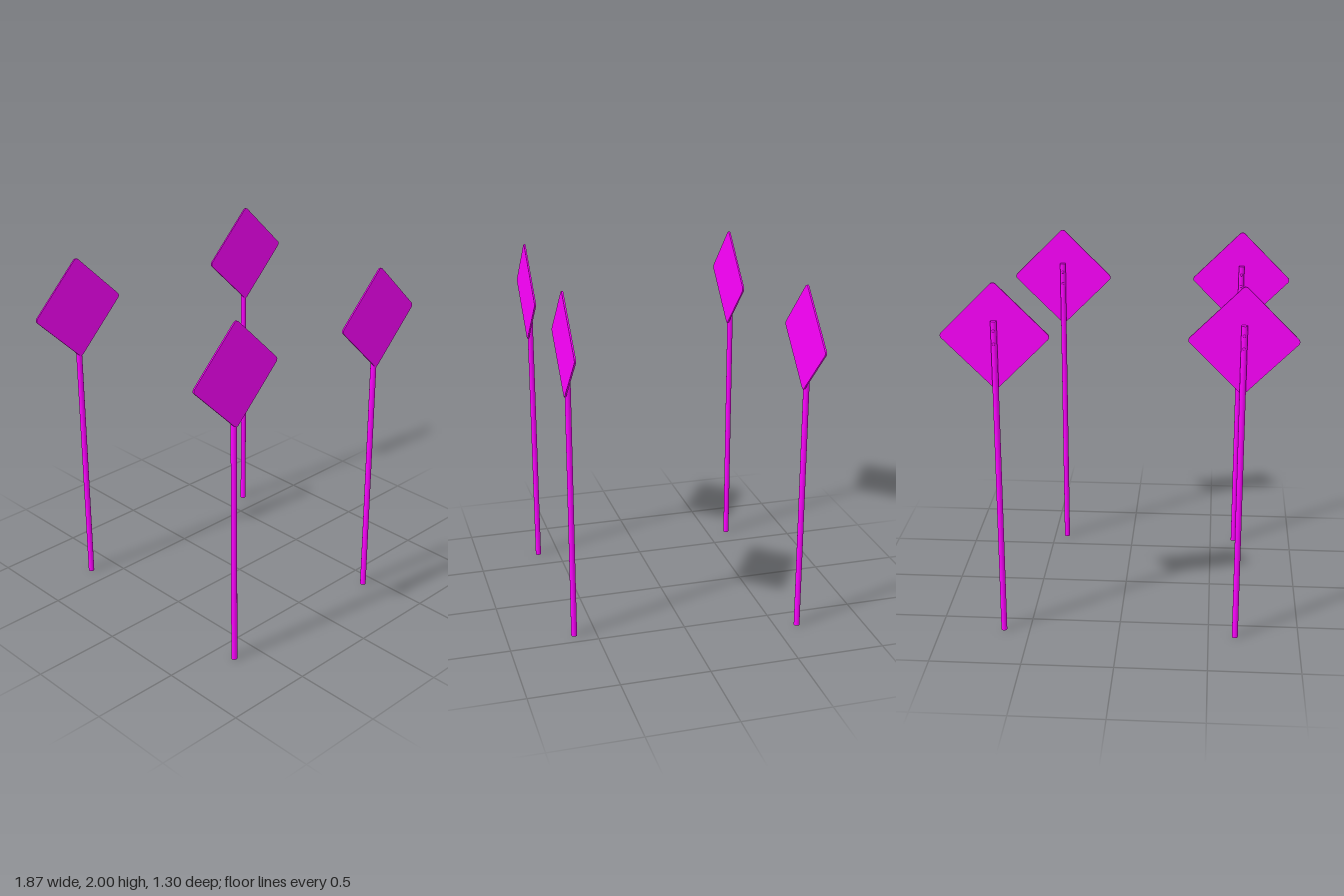
import * as THREE from 'three';

const material = new THREE.MeshStandardMaterial({ color: 0xff00ff });

// Square plate with softly rounded corners, turned to stand on one corner
function plateGeometry(tip, radius, depth) {
  const h = (tip + radius * (Math.SQRT2 - 1)) / Math.SQRT2;
  const s = new THREE.Shape();
  for (let i = 0; i < 4; i++) {
    const a = Math.PI / 4 + i * Math.PI / 2;
    const cx = Math.sign(Math.cos(a)) * (h - radius);
    const cy = Math.sign(Math.sin(a)) * (h - radius);
    s.absarc(cx, cy, radius, i * Math.PI / 2, (i + 1) * Math.PI / 2, false);
  }
  s.closePath();
  const g = new THREE.ExtrudeGeometry(s, { depth, bevelEnabled: false, curveSegments: 6 });
  return g.rotateZ(Math.PI / 4);
}

const plate = plateGeometry(0.286, 0.02, 0.009);
const post = new THREE.CylinderGeometry(0.0165, 0.0165, 1.8, 20);
const bolt = new THREE.SphereGeometry(0.008, 12, 6, 0, Math.PI * 2, 0, Math.PI / 2).rotateX(-Math.PI / 2);

function part(parent, name, geometry, x, y, z) {
  const mesh = new THREE.Mesh(geometry, material);
  mesh.name = name;
  mesh.position.set(x, y, z);
  parent.add(mesh);
}

// One sign, with its origin at the foot of the post
function createSign(name, x, z) {
  const sign = new THREE.Group();
  sign.name = name;
  sign.position.set(x, 0, z);
  part(sign, 'post', post, 0, 0.9, 0);
  part(sign, 'diamondPlate', plate, 0, 1.714, 0.0115);
  // Bolt heads on the back of the post
  for (const y of [1.75, 1.68]) part(sign, 'bolt', bolt, 0, y, -0.0145);
  return sign;
}

export function createModel() {
  const model = new THREE.Group();
  model.name = 'roadSigns';
  model.add(
    createSign('frontRightSign', -0.648, 0.6255),
    createSign('frontLeftSign', 0.424, 0.6255),
    createSign('backRightSign', -0.648, -0.6265),
    createSign('backLeftSign', 0.645, -0.6265),
  );
  return model;
}
